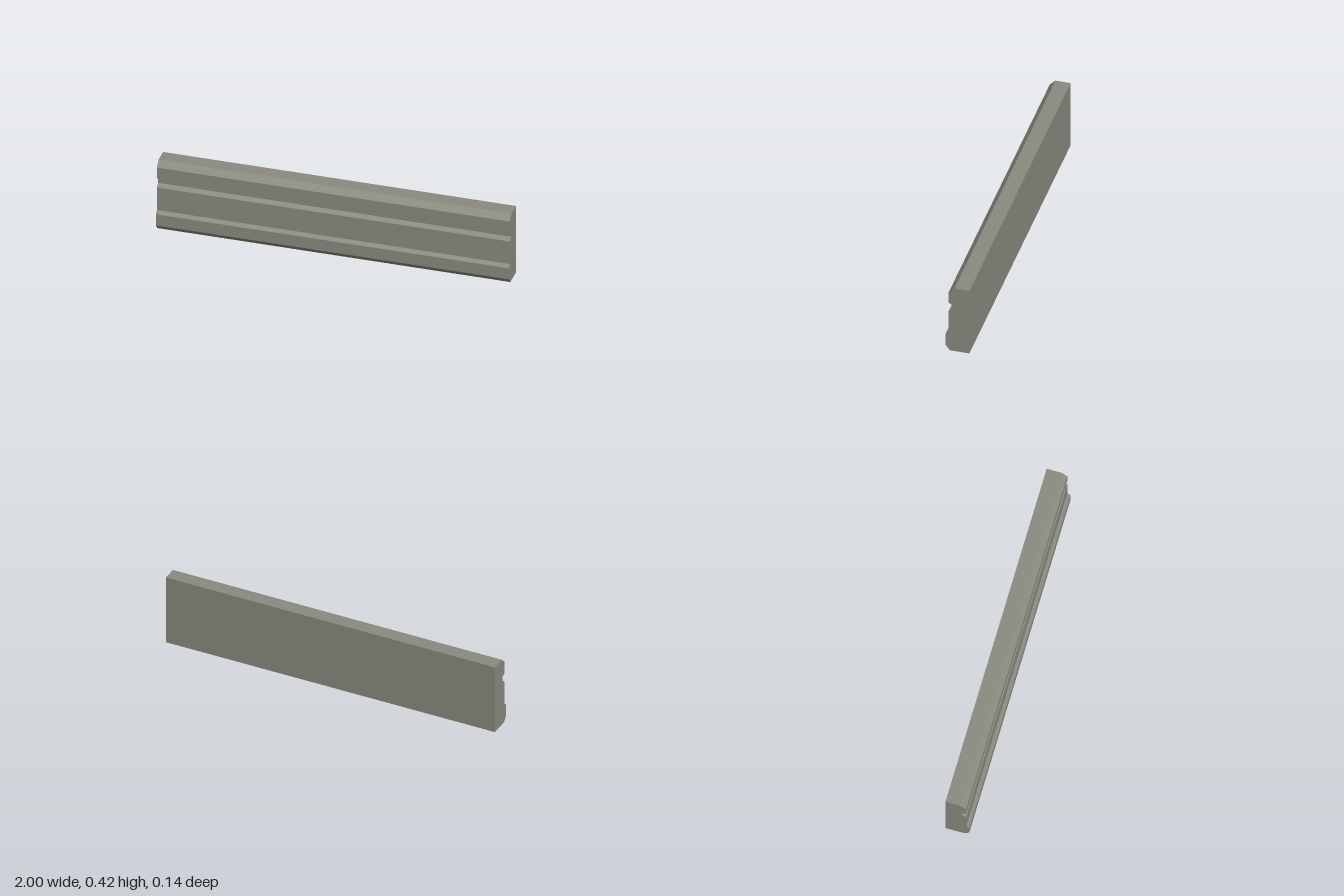
import * as THREE from 'three';

export function createModel() {
  const group = new THREE.Group();
  group.name = 'moulding';

  const stone = new THREE.MeshStandardMaterial({ color: 0x8a8a80 });
  stone.name = 'warm grey';

  // Cross-section as [z, y], from the bottom back edge round the moulded front
  const profile = [
    [-0.067, 0], [0.043, 0],
    [0.068, 0.031], [0.068, 0.101], // projecting plinth
    [0.05, 0.118], [0.05, 0.26], // flat panel
    [0.025, 0.276], [0.025, 0.302], // groove
    [0.05, 0.318], [0.05, 0.386], // upper band
    [0.018, 0.418], [-0.067, 0.418], // chamfered top
  ];
  const shape = new THREE.Shape(profile.map(([z, y]) => new THREE.Vector2(-z, y)));

  // Run the profile along x
  const length = 2;
  const geometry = new THREE.ExtrudeGeometry(shape, { depth: length, bevelEnabled: false });
  geometry.translate(0, 0, -length / 2);
  geometry.rotateY(Math.PI / 2);

  const board = new THREE.Mesh(geometry, stone);
  board.name = 'profiledBoard';
  group.add(board);
  return group;
}
